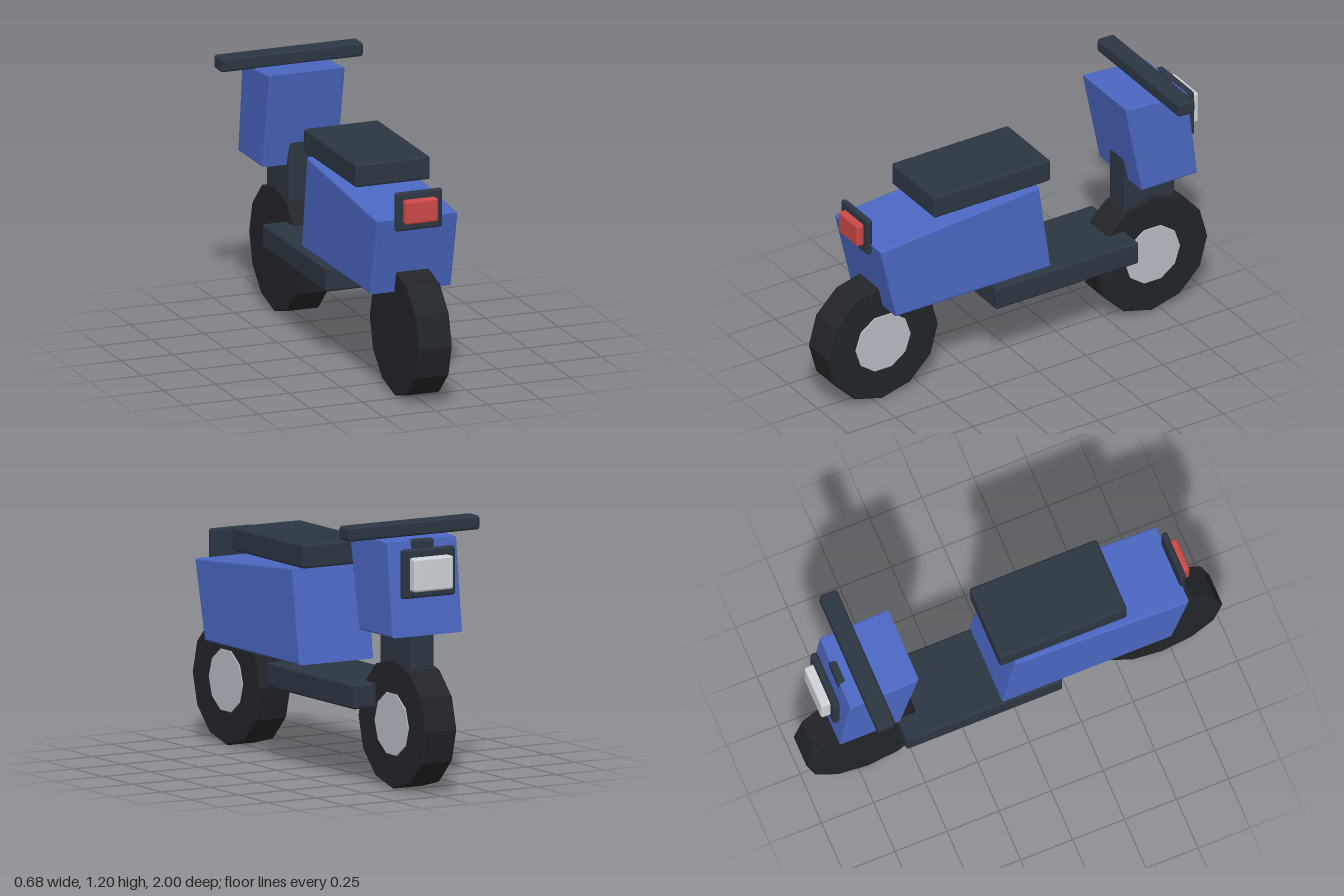
import * as THREE from 'three';
import { RoundedBoxGeometry } from 'three/addons/geometries/RoundedBoxGeometry.js';

const paint = (color) => new THREE.MeshStandardMaterial({ color });
const blue = paint(0x4c68c4);
const dark = paint(0x2c3642);
const rubber = paint(0x222529);
const silver = paint(0xb9bdc5);
const lens = paint(0xd0d4d9);
const red = paint(0xcc4848);
rubber.flatShading = true;
silver.flatShading = true;

// Softened box centred on x = 0, given half width and y, z ranges
function box(name, material, halfX, y0, y1, z0, z1, radius = 0.012) {
  const geometry = new RoundedBoxGeometry(halfX * 2, y1 - y0, z1 - z0, 2, radius);
  const mesh = new THREE.Mesh(geometry, material);
  mesh.name = name;
  mesh.position.set(0, (y0 + y1) / 2, (z0 + z1) / 2);
  return mesh;
}

// Side profile of [z, y] points extruded across x with a small bevel
function panel(name, material, halfX, profile) {
  const bevel = 0.008;
  const shape = new THREE.Shape(profile.map(([z, y]) => new THREE.Vector2(-z, y)));
  const geometry = new THREE.ExtrudeGeometry(shape, {
    depth: 2 * (halfX - bevel),
    bevelThickness: bevel,
    bevelSize: bevel,
    bevelOffset: -bevel,
    bevelSegments: 2,
  });
  geometry.translate(0, 0, bevel - halfX);
  geometry.rotateY(Math.PI / 2);
  const mesh = new THREE.Mesh(geometry, material);
  mesh.name = name;
  return mesh;
}

// Faceted disc with chamfered rims, axis along x
function disc(name, material, radius, x0, x1, sides, bevel) {
  const points = [
    [0, x0], [radius - bevel, x0], [radius, x0 + bevel],
    [radius, x1 - bevel], [radius - bevel, x1], [0, x1],
  ].map(([r, x]) => new THREE.Vector2(r, x));
  const mesh = new THREE.Mesh(new THREE.LatheGeometry(points, sides), material);
  mesh.name = name;
  mesh.rotation.z = -Math.PI / 2;
  return mesh;
}

function wheel(name, z) {
  const group = new THREE.Group();
  group.name = name;
  group.add(disc('tyre', rubber, 0.292, -0.08, 0.08, 12, 0.006));
  // Hub cap on one side only
  group.add(disc('hubCap', silver, 0.145, 0.04, 0.084, 10, 0.002));
  group.position.set(0, 0.292, z);
  return group;
}

export function createModel() {
  const model = new THREE.Group();
  model.name = 'scooter';

  model.add(
    wheel('tailWheel', 0.708),
    wheel('steeringWheel', -0.708),

    // Main body, seat and footboard
    panel('body', blue, 0.193, [[0.792, 0.84], [0.709, 0.481], [-0.105, 0.481], [-0.043, 0.91]]),
    box('seat', dark, 0.18, 0.915, 1.023, -0.113, 0.5),
    box('footboard', dark, 0.193, 0.345, 0.457, -0.567, 0.184),

    // Steering column, shield and handlebar
    box('steeringColumn', dark, 0.063, 0.42, 1.135, -0.838, -0.571),
    panel('shield', blue, 0.181, [[-0.503, 1.157], [-0.592, 0.709], [-0.882, 0.709], [-0.832, 1.133]]),
    box('handlebar', dark, 0.342, 1.14, 1.204, -0.769, -0.682),

    // Lamps at both ends
    box('headlightPlate', dark, 0.137, 0.882, 1.103, -0.897, -0.863),
    box('headlight', lens, 0.102, 0.915, 1.067, -0.94, -0.885),
    box('tailLightPlate', dark, 0.113, 0.788, 0.967, 0.782, 0.81),
    box('tailLight', red, 0.08, 0.824, 0.934, 0.795, 0.843),
  );

  return model;
}
